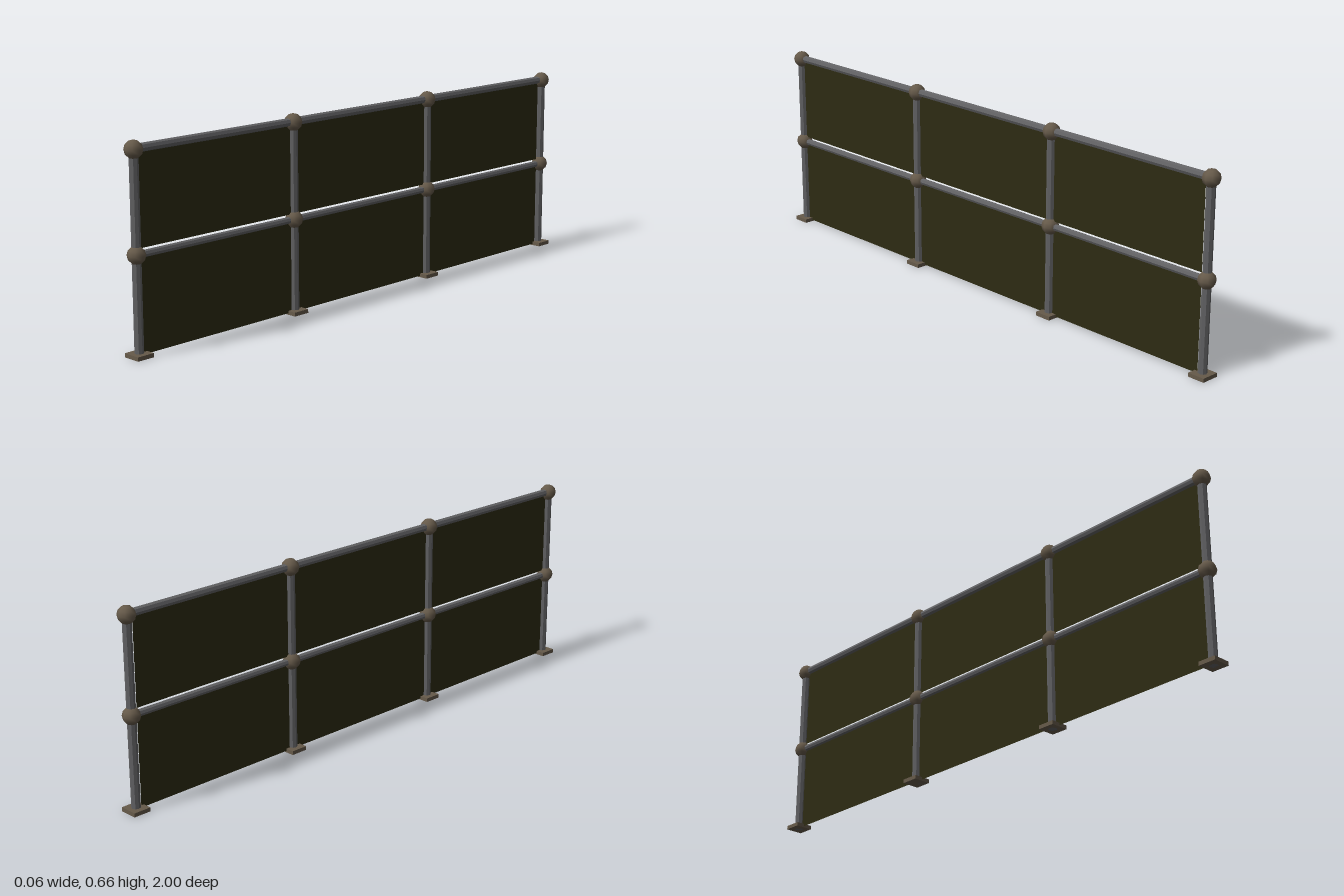
import * as THREE from 'three';

const POST_Z = [-0.97, -0.323, 0.323, 0.97];
const TOP_Y = 0.627, MID_Y = 0.312;

export function createModel() {
  const model = new THREE.Group();
  model.name = 'railing';

  const steel = new THREE.MeshStandardMaterial({ color: 0x616163 });
  steel.name = 'grey steel';
  steel.flatShading = true;
  const bronze = new THREE.MeshStandardMaterial({ color: 0x665a4a });
  bronze.name = 'brown fitting';
  const olive = new THREE.MeshStandardMaterial({ color: 0x2d2b13, side: THREE.DoubleSide });
  olive.name = 'dark olive panel';

  const add = (name, geometry, material, x, y, z) => {
    const mesh = new THREE.Mesh(geometry, material);
    mesh.name = name;
    mesh.position.set(x, y, z);
    model.add(mesh);
    return mesh;
  };

  // Posts with a foot plate and a ball joint at each rail
  const postGeo = new THREE.CylinderGeometry(0.0145, 0.0145, TOP_Y, 8);
  const footGeo = new THREE.BoxGeometry(0.062, 0.013, 0.06);
  const ballGeo = new THREE.SphereGeometry(0.029, 8, 6);
  for (const z of POST_Z) {
    add('post', postGeo, steel, 0, TOP_Y / 2, z);
    add('footPlate', footGeo, bronze, 0, 0.0065, z);
    for (const y of [MID_Y, TOP_Y]) add('ballJoint', ballGeo, bronze, 0, y, z);
  }

  // Horizontal rails, the top one a little thicker
  for (const [name, y, r] of [['topRail', TOP_Y + 0.002, 0.0135], ['middleRail', MID_Y, 0.0115]]) {
    const geo = new THREE.CylinderGeometry(r, r, 1.94, 8).rotateX(Math.PI / 2);
    add(name, geo, steel, 0, y, 0);
  }

  // Thin infill sheets, one below and one above the middle rail
  const zMin = -0.95, zMax = 0.965;
  for (const [name, y0, y1] of [['lowerPanel', 0.005, 0.312], ['upperPanel', 0.33, 0.625]]) {
    const geo = new THREE.PlaneGeometry(zMax - zMin, y1 - y0).rotateY(Math.PI / 2);
    add(name, geo, olive, 0, (y0 + y1) / 2, (zMin + zMax) / 2);
  }

  return model;
}
